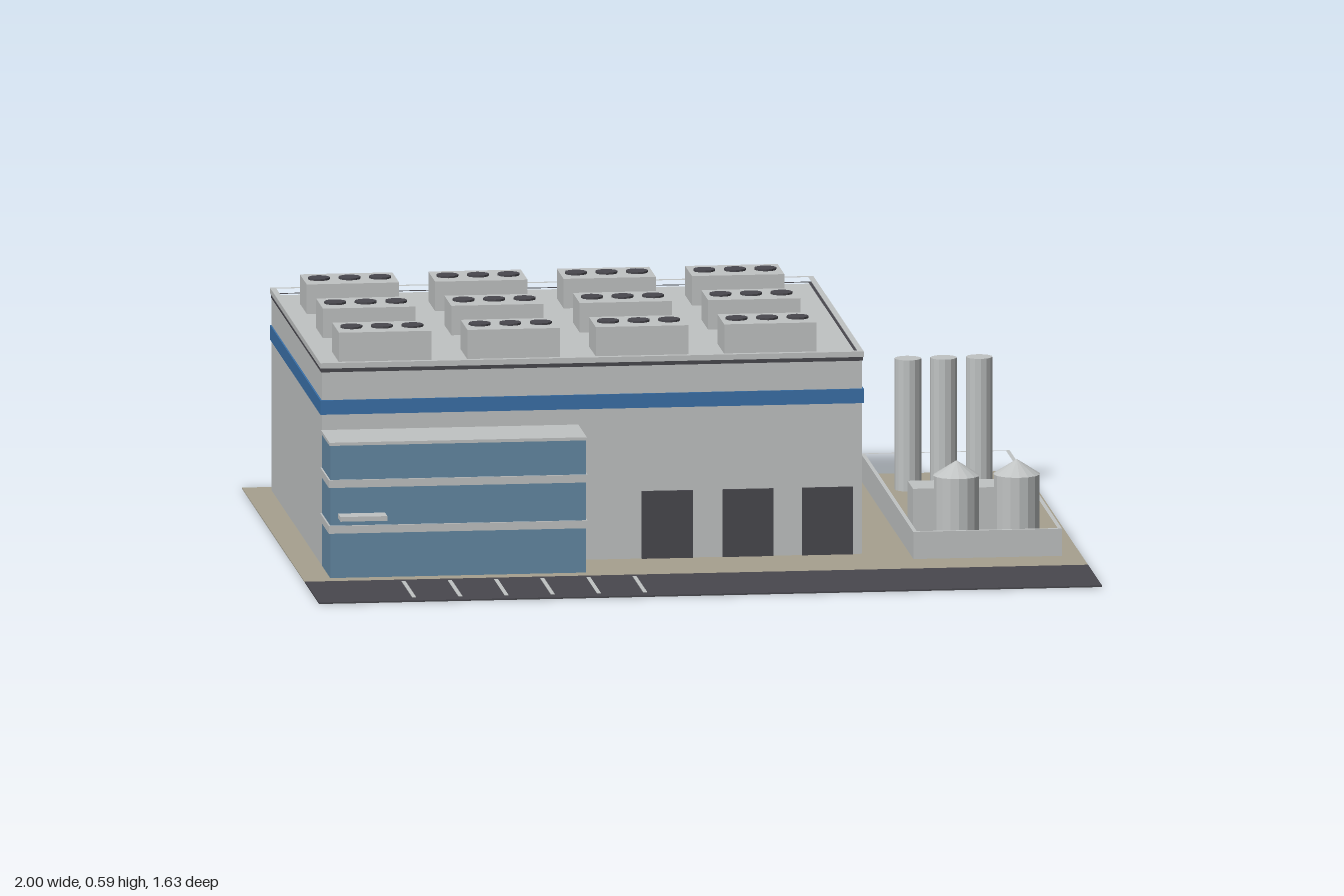
import * as THREE from 'three';

export function createModel() {
  const root = new THREE.Group();
  root.name = 'factory';

  const material = (name, color) => {
    const m = new THREE.MeshStandardMaterial({ color, flatShading: true });
    m.name = name;
    return m;
  };
  const grey = material('light grey', 0xc0c3c3);
  const glass = material('glass blue', 0x6388a3);
  const blue = material('stripe blue', 0x3a70a8);
  const dark = material('asphalt', 0x49484e);
  const tan = material('sandy ground', 0xa7a18f);

  const add = (name, geometry, mat, x = 0, y = 0, z = 0, parent = root) => {
    const mesh = new THREE.Mesh(geometry, mat);
    mesh.name = name;
    mesh.position.set(x, y, z);
    parent.add(mesh);
    return mesh;
  };
  // Box given by its limits on each axis
  const box = (name, mat, x0, x1, y0, y1, z0, z1, parent = root) =>
    add(name, new THREE.BoxGeometry(x1 - x0, y1 - y0, z1 - z0), mat,
      (x0 + x1) / 2, (y0 + y1) / 2, (z0 + z1) / 2, parent);
  // Open rectangular wall ring standing on y0
  const ring = (name, mat, x0, x1, y0, y1, z0, z1, t) => {
    const rect = (Type, d) => new Type().moveTo(x0 + d, -z0 - d).lineTo(x1 - d, -z0 - d)
      .lineTo(x1 - d, -z1 + d).lineTo(x0 + d, -z1 + d).closePath();
    const shape = rect(THREE.Shape, 0);
    shape.holes.push(rect(THREE.Path, t));
    const g = new THREE.ExtrudeGeometry(shape, { depth: y1 - y0, bevelEnabled: false });
    g.rotateX(-Math.PI / 2);
    return add(name, g, mat, 0, y0, 0);
  };

  // Site and parking
  box('ground', tan, -1, 1, 0, 0.003, -0.817, 0.522);
  box('parkingLot', dark, -1, 1, 0, 0.004, 0.522, 0.817);
  for (let i = 0; i < 6; i++) {
    const x = -0.752 + i * 0.118;
    box('parkingLine', grey, x - 0.005, x + 0.005, 0.003, 0.0055, 0.55, 0.777);
  }

  // Main hall with stripe and parapet
  const [hx0, hx1, hz0, hz1] = [-0.93, 0.45, -0.768, 0.295];
  box('hall', grey, hx0, hx1, 0.001, 0.506, hz0, hz1);
  box('hallStripe', blue, hx0 - 0.004, hx1 + 0.004, 0.392, 0.429, hz0 - 0.004, hz1 + 0.004);
  ring('parapetShadowGap', dark, hx0 - 0.002, hx1 + 0.002, 0.501, 0.511, hz0 - 0.002, hz1 + 0.002, 0.012);
  ring('parapet', grey, hx0 - 0.004, hx1 + 0.004, 0.511, 0.525, hz0 - 0.004, hz1 + 0.004, 0.015);

  // Loading doors
  for (const x of [-0.048, 0.158, 0.361])
    box('loadingDoor', dark, x - 0.065, x + 0.065, 0.002, 0.177, hz1 - 0.002, hz1 + 0.005);

  // Rooftop cooling units with three fans each
  const fan = new THREE.CylinderGeometry(0.028, 0.028, 0.006, 12);
  for (let r = 0; r < 3; r++) {
    for (let c = 0; c < 4; c++) {
      const unit = new THREE.Group();
      unit.name = 'coolingUnit';
      unit.position.set(-0.755 + c * 0.328, 0.505, 0.115 - r * 0.342);
      box('unitHousing', grey, -0.118, 0.118, 0, 0.077, -0.072, 0.072, unit);
      for (const k of [-1, 0, 1]) add('fan', fan, dark, k * 0.078, 0.079, 0, unit);
      root.add(unit);
    }
  }

  // Glazed office annex
  const [ox0, ox1, oz1] = [-0.93, -0.277, 0.474];
  box('office', glass, ox0, ox1, 0.001, 0.344, hz1, oz1);
  box('officeRoof', grey, ox0 - 0.002, ox1 + 0.002, 0.344, 0.352, hz1, oz1 + 0.002);
  for (const y of [0.128, 0.246])
    box('officeBand', grey, ox0 - 0.004, ox1 + 0.004, y - 0.01, y + 0.01, hz1, oz1 + 0.005);
  box('entranceCanopy', grey, -0.91, -0.79, 0.157, 0.169, oz1 - 0.002, 0.525);

  // Utility yard: low wall, storage tanks, pump house and stacks
  ring('yardWall', grey, 0.57, 0.95, 0.001, 0.073, -0.727, 0.385, 0.01);
  box('pumpHouse', grey, 0.613, 0.907, 0.001, 0.117, -0.092, 0.022);
  const tank = new THREE.CylinderGeometry(0.058, 0.058, 0.183, 16);
  const tankRoof = new THREE.ConeGeometry(0.06, 0.038, 16);
  for (const x of [0.702, 0.856]) {
    add('tank', tank, grey, x, 0.0925, 0.204);
    add('tankRoof', tankRoof, grey, x, 0.203, 0.204);
  }
  const stack = new THREE.CylinderGeometry(0.034, 0.034, 0.34, 14);
  for (const x of [0.674, 0.765, 0.856]) add('stack', stack, grey, x, 0.171, -0.592);

  return root;
}
